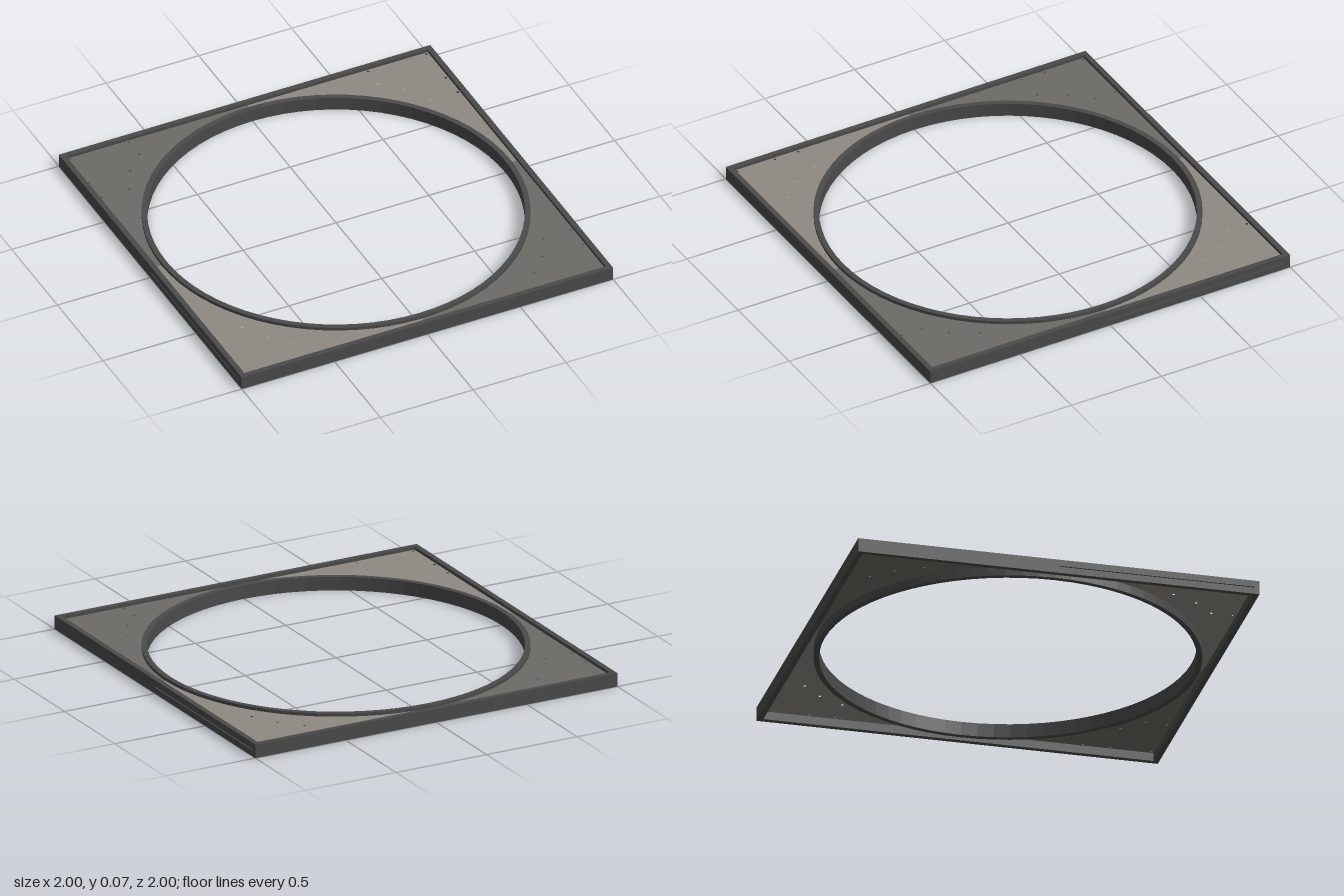
import * as THREE from 'three';

const HEIGHT = 0.07, WALL = 0.027, INNER = 1 - WALL;
const RING_OUT = 0.94, RING_IN = 0.913;
const PANEL_Y = 0.042, PANEL_T = 0.012;

const material = (color) => new THREE.MeshStandardMaterial({ color, flatShading: true });

export function createModel() {
  const model = new THREE.Group();
  const rimMat = material(0x4a4a4a);
  const panelMats = { light: material(0x8e8a83), dark: material(0x6c6b66) };

  const add = (parent, name, geometry, mat) => {
    const mesh = new THREE.Mesh(geometry, mat);
    mesh.name = name;
    parent.add(mesh);
    return mesh;
  };
  const box = (parent, name, size, pos, mat) =>
    add(parent, name, new THREE.BoxGeometry(...size), mat).position.set(...pos);

  // Square rim: front and back walls run the full width
  const rim = new THREE.Group();
  rim.name = 'outerRim';
  model.add(rim);
  for (const s of [-1, 1]) {
    const mid = s * (1 - WALL / 2);
    box(rim, 'endWall', [2, HEIGHT, WALL], [0, HEIGHT / 2, mid], rimMat);
    // Side wall: one plain half, one half with a narrow groove along its outside
    box(rim, 'sideWallPlain', [WALL, HEIGHT, INNER], [mid, HEIGHT / 2, s * INNER / 2], rimMat);
    const z = -s * INNER / 2;
    box(rim, 'sideWallLower', [WALL, 0.031, INNER], [mid, 0.0155, z], rimMat);
    box(rim, 'sideWallUpper', [WALL, 0.033, INNER], [mid, 0.0535, z], rimMat);
    box(rim, 'grooveFloor', [WALL - 0.008, 0.006, INNER], [mid - s * 0.004, 0.034, z], rimMat);
  }

  // Round wall lining the opening
  const profile = [
    [RING_IN, 0], [RING_OUT, 0], [RING_OUT, HEIGHT], [RING_IN, HEIGHT], [RING_IN, 0],
  ].map(([r, y]) => new THREE.Vector2(r, y));
  add(model, 'openingRing', new THREE.LatheGeometry(profile, 72), rimMat);

  // Four recessed corner panels with small screw holes
  const holes = [
    [0.645, 0.96], [0.645, 0.85], [0.74, 0.75], [0.96, 0.75],
    [0.81, 0.62], [0.96, 0.62], [0.96, 0.96],
  ];
  for (const sx of [-1, 1]) for (const sy of [-1, 1]) {
    const at = (x, y) => new THREE.Vector2(sx * x, sy * y);
    const r = RING_OUT - 0.005;
    const outline = [at(0, INNER), at(INNER, INNER), at(INNER, 0)];
    for (let i = 0; i <= 18; i++) {
      const a = (i / 18) * Math.PI / 2;
      outline.push(at(r * Math.cos(a), r * Math.sin(a)));
    }
    const shape = new THREE.Shape(outline);
    for (const [x, y] of holes) {
      const hole = new THREE.Path();
      hole.absarc(sx * x, sy * y, 0.007, 0, Math.PI * 2, true);
      shape.holes.push(hole);
    }
    const geometry = new THREE.ExtrudeGeometry(shape, {
      depth: PANEL_T, bevelEnabled: false, curveSegments: 4,
    });
    geometry.rotateX(-Math.PI / 2);
    geometry.translate(0, PANEL_Y, 0);
    add(model, 'cornerPanel', geometry, sx === sy ? panelMats.light : panelMats.dark);
  }
  return model;
}
